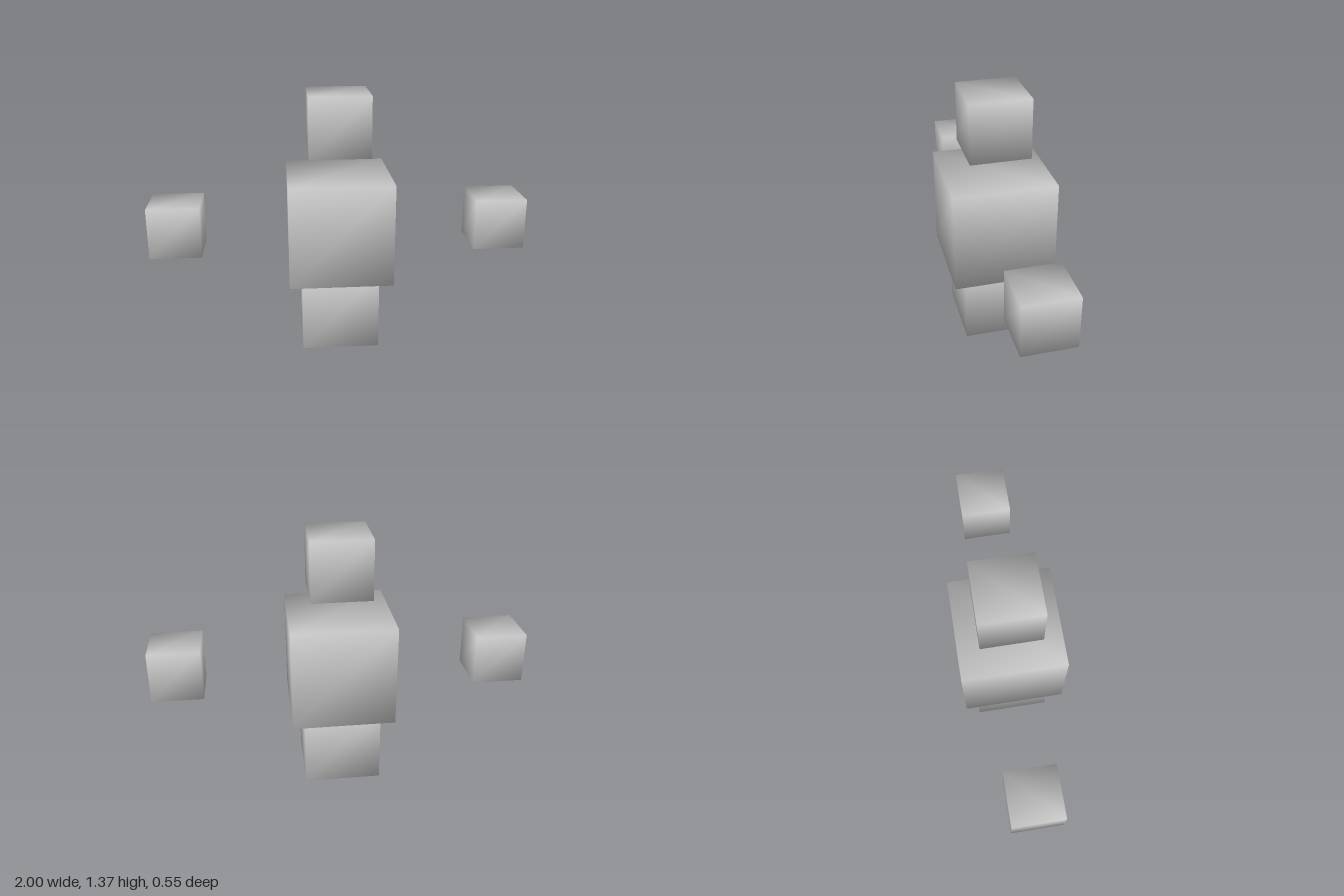
import * as THREE from 'three';
import { mergeVertices } from 'three/addons/utils/BufferGeometryUtils.js';

const material = new THREE.MeshStandardMaterial({ color: 0xcccccc });

// Cube with shared corners, so its normals are smooth across the edges
function softCube(name, size, x, y) {
  const box = new THREE.BoxGeometry(size, size, size);
  box.deleteAttribute('normal');
  box.deleteAttribute('uv');
  const geometry = mergeVertices(box);
  geometry.computeVertexNormals();
  const mesh = new THREE.Mesh(geometry, material);
  mesh.name = name;
  mesh.position.set(x, y, 0);
  return mesh;
}

export function createModel() {
  const model = new THREE.Group();
  model.name = 'blockFigure';

  // Stacked base, body and floating head
  model.add(softCube('base', 0.41, 0, 0.205));
  model.add(softCube('body', 0.545, 0, 0.661));
  model.add(softCube('head', 0.32, 0, 1.207));

  // Floating hands on both sides
  for (const [name, side] of [['leftHand', 1], ['rightHand', -1]]) {
    model.add(softCube(name, 0.272, side * 0.864, 0.661));
  }
  return model;
}
